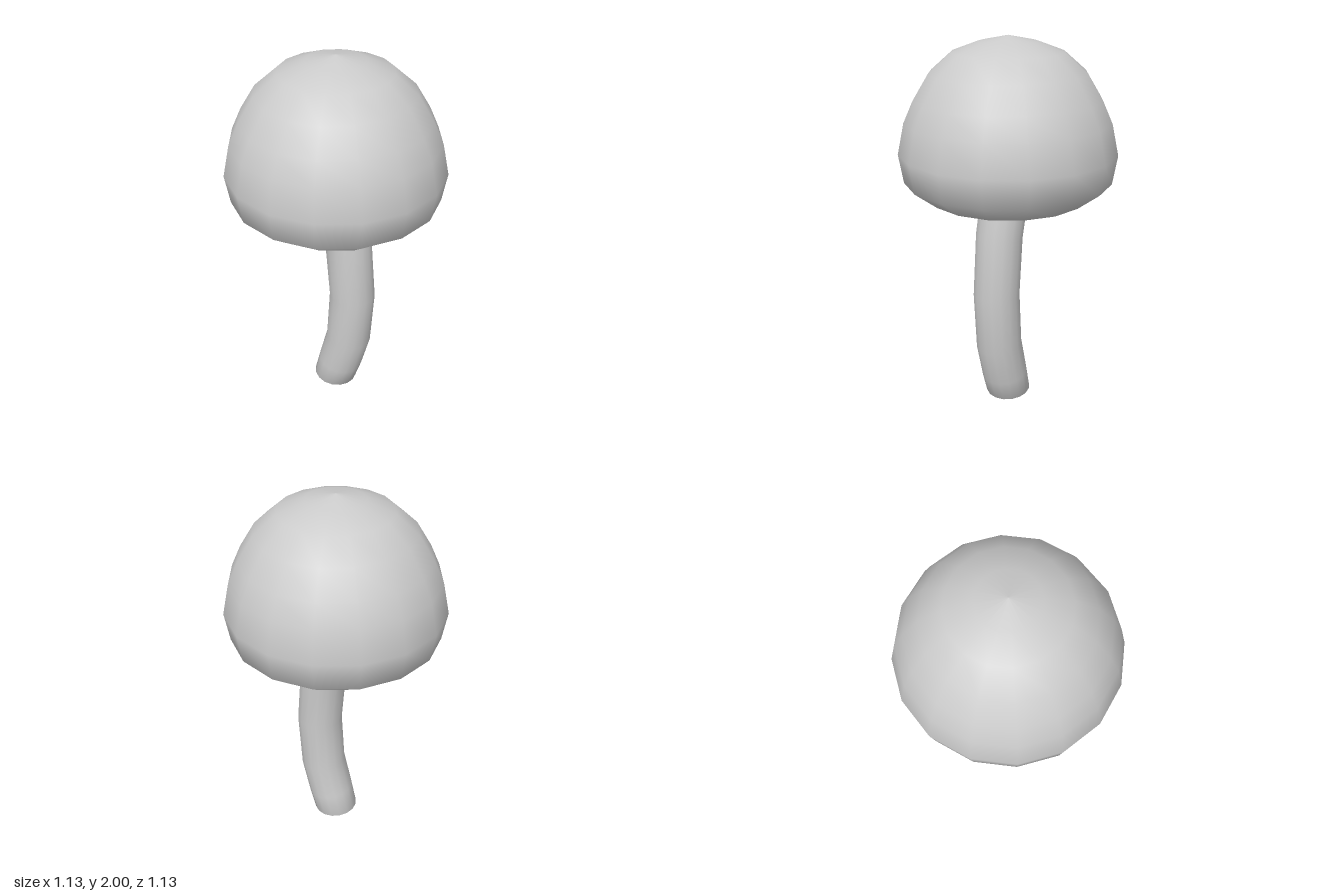
import * as THREE from 'three';

const material = new THREE.MeshStandardMaterial({ color: 0xcccccc });

// Smooth skin over rings of [centre x, centre y, radius, tilt about z]
function skinRings(rings, sides) {
  const positions = [], index = [];
  for (const [cx, cy, r, tilt] of rings) {
    for (let j = 0; j < sides; j++) {
      const a = (j / sides) * Math.PI * 2;
      const u = r * Math.cos(a);
      positions.push(cx + u * Math.cos(tilt), cy + u * Math.sin(tilt), r * Math.sin(a));
    }
  }
  for (let i = 0; i < rings.length - 1; i++) {
    for (let j = 0; j < sides; j++) {
      const k = (j + 1) % sides;
      const a = i * sides + j, b = i * sides + k;
      index.push(a, a + sides, b, b, a + sides, b + sides);
    }
  }
  const geometry = new THREE.BufferGeometry();
  geometry.setAttribute('position', new THREE.Float32BufferAttribute(positions, 3));
  geometry.setIndex(index);
  geometry.computeVertexNormals();
  return geometry;
}

export function createModel() {
  const group = new THREE.Group();

  // Domed cap: groove around the stem, rolled lip, then the outer dome
  const profile = [
    [0.11, 1.2], [0.16, 1.27], [0.23, 1.33], [0.28, 1.27], [0.29, 1.2], [0.42, 1.18],
    [0.54, 1.27], [0.565, 1.42], [0.53, 1.58], [0.48, 1.69], [0.4, 1.82], [0.285, 1.92],
    [0.15, 1.97], [0, 2],
  ].map(([r, y]) => new THREE.Vector2(r, y));
  const cap = new THREE.Mesh(new THREE.LatheGeometry(profile, 16), material);
  cap.name = 'cap';
  group.add(cap);

  // Bowed stem with a hollow foot, from the inside of the hollow out and up
  const stem = new THREE.Mesh(skinRings([
    [0.08, 0.34, 0.001, -0.18],
    [0.08, 0.34, 0.085, -0.18],
    [0.005, 0.03, 0.09, -0.1],
    [0, 0.015, 0.122, -0.1],
    [0.035, 0.14, 0.125, -0.2],
    [0.087, 0.34, 0.125, -0.14],
    [0.108, 0.65, 0.125, 0],
    [0.08, 0.98, 0.125, 0.14],
    [0.03, 1.19, 0.126, 0.2],
    [0, 1.32, 0.126, 0.2],
  ], 16), material);
  stem.name = 'stem';
  group.add(stem);

  return group;
}
